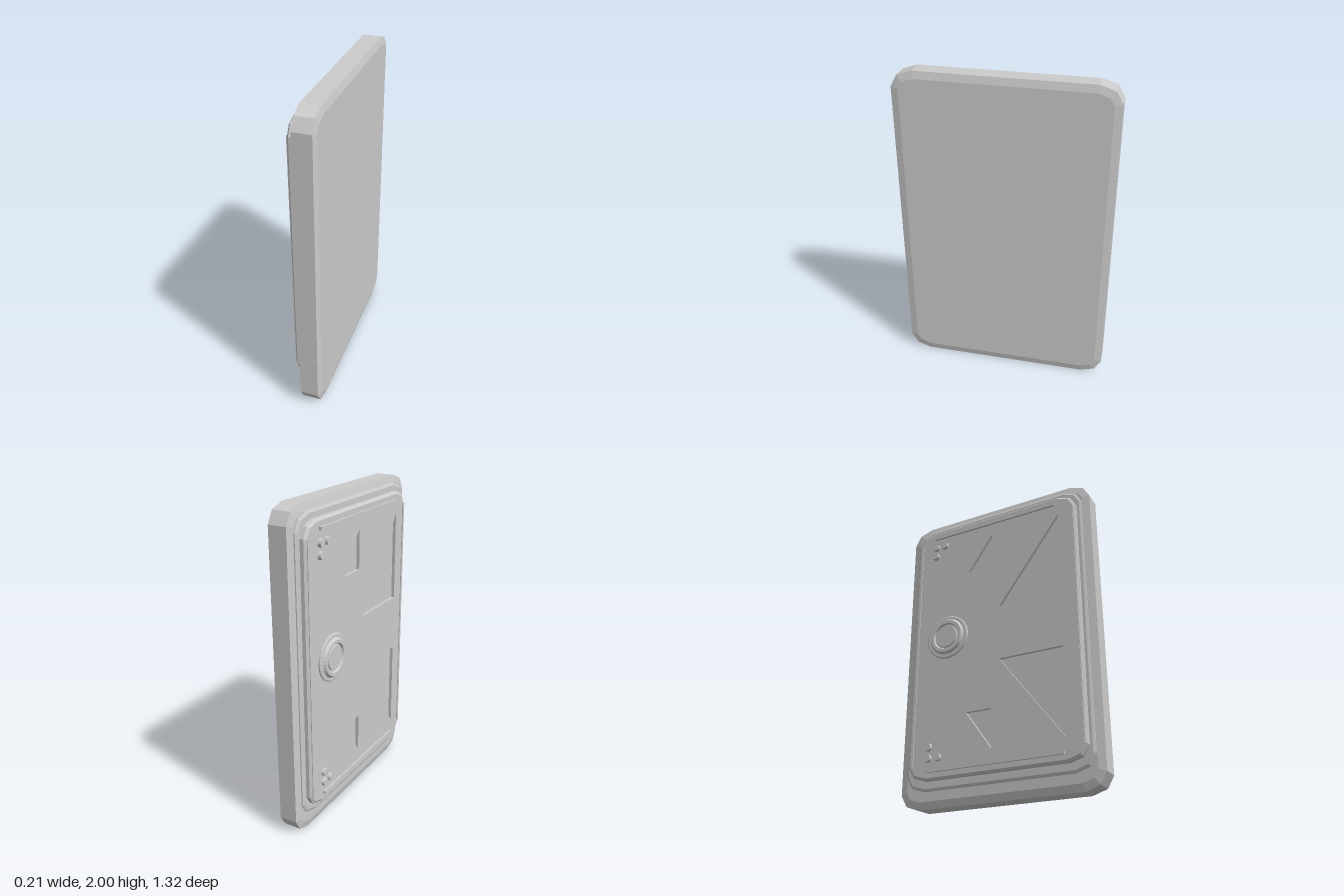
import * as THREE from 'three';

const material = new THREE.MeshStandardMaterial({ color: 0xcccccc, flatShading: true });
const MID = 1.035; // height of the raised panel's centre

// Rectangle centred on the origin with two-segment cut corners
function outline(w, h, k = 1) {
  const corner = [[w, h - 0.10 * k], [w - 0.04 * k, h - 0.03 * k], [w - 0.13 * k, h]];
  const pts = [];
  for (const [sx, sy] of [[1, 1], [-1, 1], [-1, -1], [1, -1]]) {
    const c = corner.map(([x, y]) => new THREE.Vector2(x * sx, y * sy));
    pts.push(...(sx * sy > 0 ? c : c.reverse()));
  }
  return new THREE.Shape(pts);
}

// Chamfered slab between two heights
function slab(shape, from, to, bevelSize, bevelThickness) {
  const g = new THREE.ExtrudeGeometry(shape, {
    depth: to - from - 2 * bevelThickness, bevelEnabled: true, bevelSegments: 1,
    bevelSize, bevelThickness, bevelOffset: -bevelSize,
  });
  return g.translate(0, 0, from + bevelThickness);
}

export function createModel() {
  const group = new THREE.Group();
  // Worked on lying in XY with the detailed side up +Z, then turned to face -X
  const door = new THREE.Group();
  door.name = 'door';
  door.rotation.y = -Math.PI / 2;
  group.add(door);

  function add(name, geometry, x, y, z = 0) {
    const mesh = new THREE.Mesh(geometry, material);
    mesh.name = name;
    mesh.position.set(x, y, z);
    door.add(mesh);
    return mesh;
  }

  // Thick outer slab and the low step on it
  add('doorSlab', slab(outline(0.66, 1), -0.105, 0.03, 0.045, 0.011), 0, 1);
  add('step', slab(outline(0.612, 0.927, 0.95), 0.02, 0.045, 0.015, 0.008), 0, MID - 0.005);

  // Raised panel with triangular recesses, mirrored top and bottom
  const panel = outline(0.58, 0.875, 0.85);
  for (const s of [1, -1]) {
    for (const [x0, x1, y0, y1] of [[0.04, 0.46, 0.18, 0.74], [-0.185, -0.012, 0.49, 0.735]]) {
      panel.holes.push(new THREE.Path([
        new THREE.Vector2(x0, s * y0), new THREE.Vector2(x1, s * y0), new THREE.Vector2(x1, s * y1),
      ]));
    }
  }
  const panelGeo = new THREE.ExtrudeGeometry(panel, { depth: 0.036, steps: 3, bevelEnabled: false });
  // Chamfer the panel's outer rim only
  const p = panelGeo.attributes.position;
  for (let i = 0; i < p.count; i++) {
    const x = p.getX(i), y = p.getY(i);
    if (p.getZ(i) > 0.03 && (Math.abs(x) > 0.465 || Math.abs(y) > 0.78)) {
      p.setXY(i, x - Math.sign(x) * 0.012, y - Math.sign(y) * 0.012);
    }
  }
  panelGeo.computeVertexNormals();
  add('panel', panelGeo, 0, MID, 0.044);
  add('recessFloor', new THREE.BoxGeometry(1, 1.6, 0.02), 0, MID, 0.05);

  // Trim strips along all four panel edges
  for (const s of [1, -1]) {
    add('horizontalTrim', new THREE.BoxGeometry(0.89, 0.02, 0.025), 0, MID + s * 0.822, 0.081);
    add('verticalTrim', new THREE.BoxGeometry(0.018, 1.58, 0.02), s * 0.556, MID, 0.075);
  }

  // Three round studs in each corner of the latch side
  for (const s of [1, -1]) {
    for (const [x, y] of [[-0.44, 0.745], [-0.373, 0.745], [-0.44, 0.675]]) {
      const stud = new THREE.CylinderGeometry(0.023, 0.026, 0.026, 16).rotateX(Math.PI / 2);
      add('stud', stud, x, MID + s * y, 0.087);
    }
  }

  // Round latch: flange, raised ring and sunken centre button
  const profile = [
    [0.147, 0.07], [0.147, 0.088], [0.14, 0.092], [0.122, 0.092], [0.115, 0.1], [0.11, 0.108],
    [0.09, 0.108], [0.084, 0.096], [0.076, 0.096], [0.073, 0.104], [0, 0.104],
  ].map(([r, h]) => new THREE.Vector2(r, h));
  add('latch', new THREE.LatheGeometry(profile, 32).rotateX(Math.PI / 2), -0.328, 1.077);

  return group;
}
